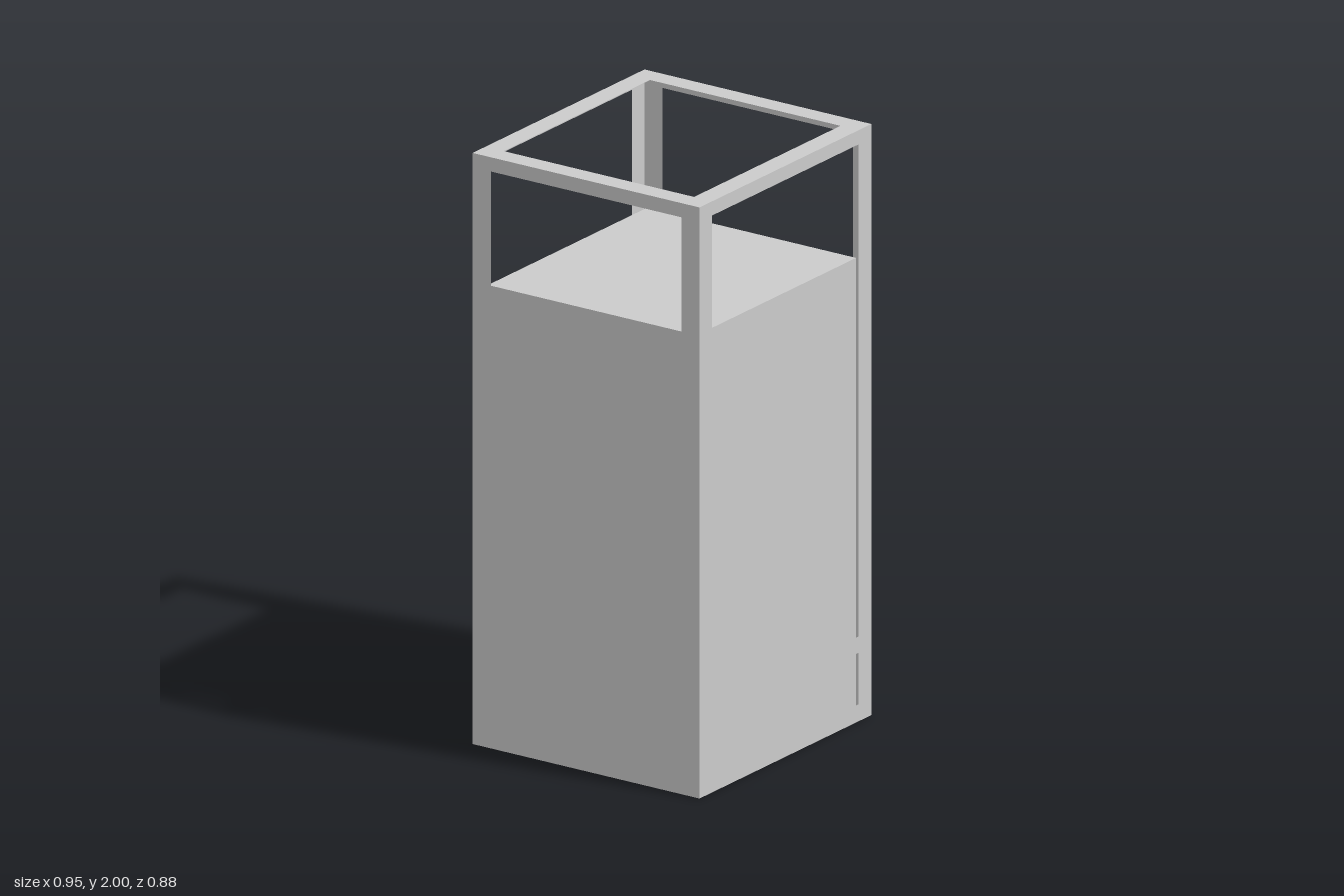
import * as THREE from 'three';

export function createModel() {
  const model = new THREE.Group();
  const solid = new THREE.MeshStandardMaterial({ color: 0xcccccc });
  const sheet = new THREE.MeshStandardMaterial({ color: 0xcccccc, side: THREE.DoubleSide });

  // Half sizes of the footprint, its openings, and the gap behind the frame
  const X = 0.475, Z = 0.441, H = 2;
  const openX = 0.4045, openZ = 0.3705;
  const gap = 0.035;

  function rect(Type, halfWidth, y0, y1) {
    return new Type([
      new THREE.Vector2(-halfWidth, y0), new THREE.Vector2(halfWidth, y0),
      new THREE.Vector2(halfWidth, y1), new THREE.Vector2(-halfWidth, y1),
    ]);
  }

  // Thin sheet with rectangular holes, each given as [bottom, top]
  function frameSheet(name, halfWidth, y0, y1, holeHalfWidth, holes) {
    const shape = rect(THREE.Shape, halfWidth, y0, y1);
    for (const [h0, h1] of holes) shape.holes.push(rect(THREE.Path, holeHalfWidth, h0, h1));
    const mesh = new THREE.Mesh(new THREE.ShapeGeometry(shape), sheet);
    mesh.name = name;
    model.add(mesh);
    return mesh;
  }

  // Four side frames: a low opening and a tall one above the middle rail
  const openings = [[0.058, 0.232], [0.287, 1.952]];
  frameSheet('frontFrame', X, 0, H, openX, openings).position.z = Z;
  const back = frameSheet('backFrame', X, 0, H, openX, openings);
  back.position.z = -Z;
  back.rotation.y = Math.PI;
  for (const [name, side] of [['leftFrame', 1], ['rightFrame', -1]]) {
    const frame = frameSheet(name, Z, 0, H, openZ, openings);
    frame.position.x = side * X;
    frame.rotation.y = side * Math.PI / 2;
  }

  // Open rim on top and closed base below
  const rim = frameSheet('topRim', X, -Z, Z, openX, [[-openZ, openZ]]);
  rim.position.y = H;
  rim.rotation.x = -Math.PI / 2;
  frameSheet('base', X, -Z, Z, 0, []).rotation.x = Math.PI / 2;

  // Solid body standing inside the frame
  const y0 = gap, y1 = 1.55;
  const body = new THREE.Mesh(
    new THREE.BoxGeometry(2 * (X - gap), y1 - y0, 2 * (Z - gap)), solid);
  body.name = 'body';
  body.position.y = (y0 + y1) / 2;
  model.add(body);

  return model;
}
